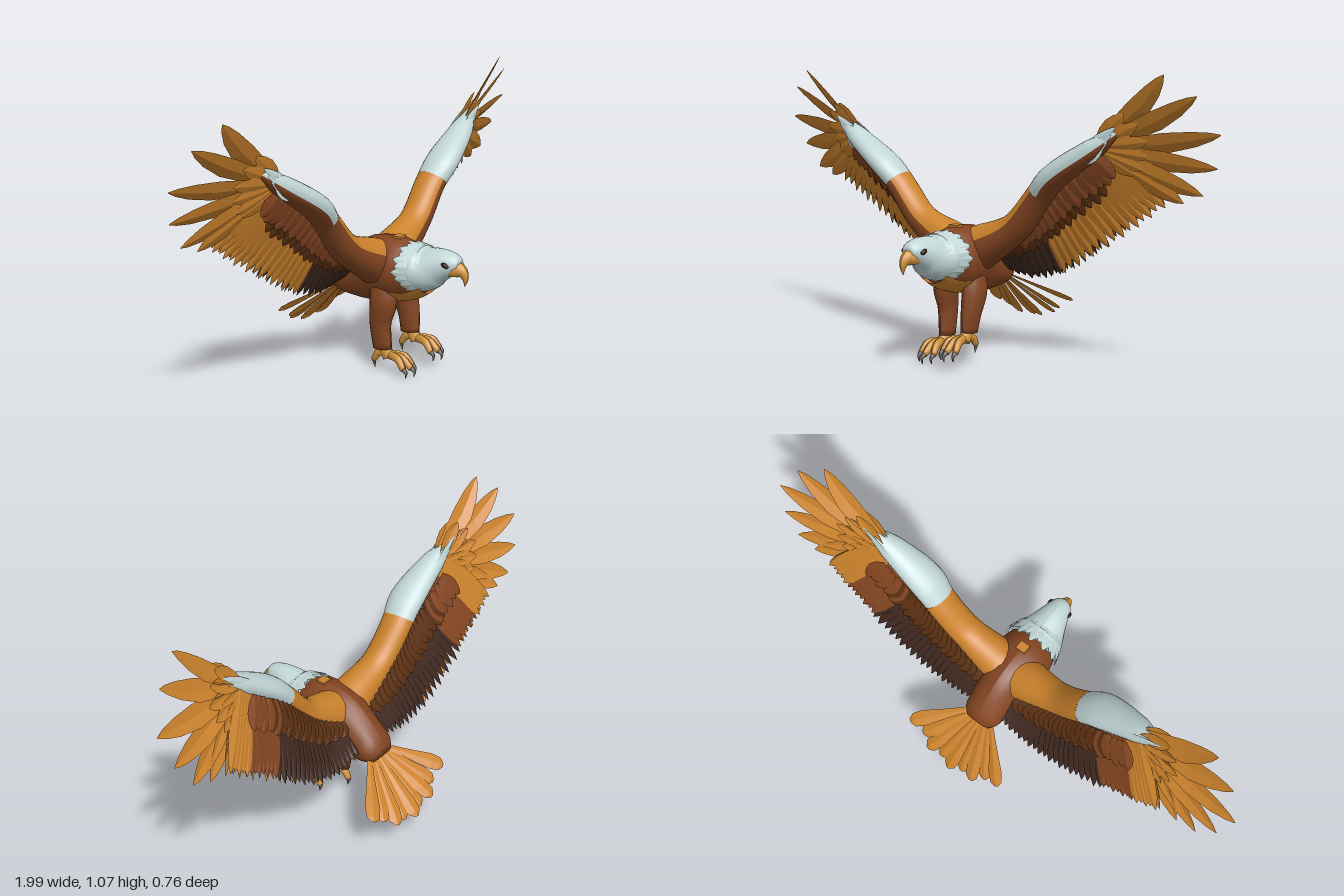
import * as THREE from 'three';
import { mergeGeometries } from 'three/addons/utils/BufferGeometryUtils.js';

const V = (x, y, z = 0) => new THREE.Vector3(x, y, z);
const D = Math.PI / 180;

const paint = (name, color) => {
  const m = new THREE.MeshStandardMaterial({ color, side: THREE.DoubleSide });
  m.name = name;
  return m;
};

// Elliptical skin along a path. Points are [x, y, z, radius across side, radius along side].
function loft(points, side, { a0 = 0, a1 = 360, t0 = 0, t1 = 1, rows = 14, cols = 16 } = {}) {
  const path = new THREE.CatmullRomCurve3(points.map(p => V(p[0], p[1], p[2])));
  const size = new THREE.CatmullRomCurve3(points.map(p => V(p[3], p[4], 0)));
  const pos = [], index = [];
  const closed = a1 - a0 === 360;
  const first = closed ? -1 : 0, last = closed ? rows + 1 : rows;
  for (let i = first; i <= last; i++) {
    const k = Math.min(Math.max(i, 0), rows);
    const t = t0 + (t1 - t0) * k / rows;
    const c = path.getPoint(t), tan = path.getTangent(t), r = size.getPoint(t);
    const u = tan.clone().cross(side).normalize();
    const s = u.clone().cross(tan).normalize();
    const f = k === i ? 1 : 0; // end rings collapse into caps
    for (let j = 0; j <= cols; j++) {
      const a = (a0 + (a1 - a0) * j / cols) * D;
      const p = c.clone().addScaledVector(u, Math.cos(a) * Math.max(r.x, 0.001) * f)
        .addScaledVector(s, Math.sin(a) * Math.max(r.y, 0.001) * f);
      pos.push(p.x, p.y, p.z);
    }
  }
  const n = cols + 1;
  for (let i = 0; i < last - first; i++) for (let j = 0; j < cols; j++) {
    const a = i * n + j;
    index.push(a, a + n, a + 1, a + n, a + n + 1, a + 1);
  }
  const g = new THREE.BufferGeometry();
  g.setAttribute('position', new THREE.Float32BufferAttribute(pos, 3));
  g.setIndex(index);
  g.computeVertexNormals();
  return g;
}

// Blade outlines as [distance along, share of width]
const POINTED = [[0, 0.35], [0.3, 0.85], [0.55, 1], [0.78, 0.75], [0.92, 0.4], [1, 0.04]];
const BROAD = [[0, 0.25], [0.4, 0.55], [0.8, 1], [0.94, 0.85], [1, 0.25]];

// One ridged feather blade from root to tip, facing along normal
function feather(root, tip, width, normal, { bend = 0, outline = POINTED } = {}) {
  const y = tip.clone().sub(root), len = y.length();
  y.normalize();
  const x = y.clone().cross(normal).normalize(), z = x.clone().cross(y);
  const pos = [], index = [];
  outline.forEach(([t, w], i) => {
    for (const e of [-1, 0, 1]) {
      const p = root.clone().addScaledVector(y, t * len)
        .addScaledVector(x, e * w * width / 2 + bend * Math.sin(t * Math.PI))
        .addScaledVector(z, e ? 0 : 0.1 * width * w);
      pos.push(p.x, p.y, p.z);
    }
    if (i) for (const a of [i * 3 - 3, i * 3 - 2])
      index.push(a, a + 1, a + 3, a + 1, a + 4, a + 3);
  });
  const g = new THREE.BufferGeometry();
  g.setAttribute('position', new THREE.Float32BufferAttribute(pos, 3));
  g.setIndex(index);
  const flat = g.toNonIndexed();
  flat.computeVertexNormals();
  return flat;
}

export function createModel() {
  const model = new THREE.Group();
  model.name = 'eagle';
  const golden = paint('golden feathers', 0xcb822c);
  const white = paint('white feathers', 0xc2d6d6);
  const brown = paint('brown plumage', 0x834521);
  const umber = paint('umber coverts', 0x5a2f11);
  const dark = paint('dark feathers', 0x3e281f);
  const yellow = paint('beak and feet', 0xd3943c);
  const grey = paint('claws', 0x6a6460);
  const black = paint('eyes', 0x2a1c12);
  const add = (parent, name, geometry, material) => {
    const m = new THREE.Mesh(geometry, material);
    m.name = name;
    parent.add(m);
    return m;
  };
  const X = V(1, 0, 0);

  // Body, chest patch and a small mark on the nape
  const bodyPath = [
    [0, 0.295, -0.2, 0.034, 0.05], [0, 0.308, -0.17, 0.06, 0.075], [0, 0.335, -0.1, 0.098, 0.085],
    [0, 0.372, 0, 0.128, 0.1], [0, 0.385, 0.08, 0.123, 0.11], [0, 0.388, 0.14, 0.103, 0.1],
    [0, 0.395, 0.2, 0.076, 0.08]];
  add(model, 'body', loft(bodyPath, X, { rows: 20, cols: 20 }), brown);
  const chestPath = [
    [0, 0.385, 0.09, 0.125, 0.112], [0, 0.387, 0.15, 0.108, 0.102], [0, 0.395, 0.21, 0.08, 0.083]];
  add(model, 'chest', loft(chestPath, X, { a0: 125, a1: 235 }), golden);
  add(model, 'napeMark', new THREE.BoxGeometry(0.04, 0.008, 0.036), golden).position.set(0, 0.507, 0.08);

  // Head with a ruff of neck feathers
  const headPath = [
    [0, 0.405, 0.14, 0.082, 0.1], [0, 0.405, 0.18, 0.087, 0.102], [0, 0.408, 0.21, 0.082, 0.088],
    [0, 0.426, 0.25, 0.066, 0.069], [0, 0.438, 0.29, 0.053, 0.053], [0, 0.441, 0.325, 0.039, 0.04],
    [0, 0.437, 0.343, 0.022, 0.026]];
  add(model, 'head', loft(headPath, X, { rows: 18, cols: 20 }), white);
  const ruff = [];
  for (let i = 0; i < 24; i++) {
    const a = i / 24 * 2 * Math.PI, c = Math.cos(a), s = Math.sin(a);
    const low = c < -0.3 ? 0.03 : 0;
    ruff.push(feather(V(s * 0.082, 0.405 + c * 0.074, 0.215),
      V(s * 0.116, 0.405 + c * 0.092, 0.122 + low + (i % 2) * 0.014), 0.044, V(s, c, 0)));
  }
  add(model, 'neckRuff', mergeGeometries(ruff), white);

  // Hooked beak and eyes
  const beakPath = [
    [0, 0.421, 0.305, 0.026, 0.038], [0, 0.425, 0.337, 0.029, 0.031], [0, 0.418, 0.357, 0.021, 0.02],
    [0, 0.395, 0.369, 0.012, 0.011], [0, 0.367, 0.367, 0.001, 0.001]];
  add(model, 'beak', loft(beakPath, X, { cols: 10 }), yellow);
  for (const s of [-1, 1]) {
    const eye = add(model, 'eye', new THREE.SphereGeometry(0.011, 10, 8), black);
    eye.position.set(s * 0.045, 0.446, 0.309);
    eye.scale.set(0.7, 0.8, 1.5);
    eye.rotation.x = 0.35;
  }

  // Tail fan
  const tail = [];
  for (let i = -4; i <= 4; i++) {
    const f = i / 4, reach = i % 2 ? 0.95 : 1;
    tail.push(feather(V(0.03 * f, 0.305, -0.16),
      V(0.015 + 0.215 * f * reach, 0.1 + 0.09 * f * f, (-0.378 + 0.04 * f * f) * reach), 0.062,
      V(0.25, 1, -1), { outline: BROAD }));
  }
  add(model, 'tail', mergeGeometries(tail), golden);

  // Legs, the left one carried higher and further forward
  for (const [s, y, z] of [[1, 0.1, 0.115], [-1, 0.065, 0.082]]) {
    const leg = new THREE.Group();
    leg.name = s > 0 ? 'leftLeg' : 'rightLeg';
    model.add(leg);
    const x = s * 0.066, zl = z - 0.03;
    add(leg, 'thigh', loft([
      [s * 0.06, 0.34, 0.045, 0.055, 0.03], [s * 0.068, 0.27, 0.056, 0.056, 0.04],
      [s * 0.069, 0.19, zl - 0.008, 0.045, 0.033], [x, y + 0.02, zl, 0.04, 0.024]], X), brown);
    add(leg, 'shank', loft([
      [x, y + 0.04, zl, 0.026, 0.02], [x, y + 0.015, z - 0.015, 0.026, 0.02],
      [x, y - 0.01, z, 0.024, 0.023]], X, { rows: 6, cols: 10 }), yellow);
    const toes = [], claws = [];
    const toe = (dx, z1, z2, z3) => {
      toes.push(loft([
        [x, y, z, 0.017, 0.015], [x + dx * 0.7, y, z + z1, 0.016, 0.014],
        [x + dx, y - 0.032, z + z2, 0.012, 0.011]], X, { rows: 8, cols: 8 }));
      claws.push(loft([
        [x + dx, y - 0.03, z + z2, 0.01, 0.009], [x + dx, y - 0.043, z + z3, 0.006, 0.006],
        [x + dx * 0.95, y - 0.064, z + z3 - Math.sign(z3) * 0.004, 0.001, 0.001]], X, { rows: 5, cols: 8 }));
    };
    for (const dx of [-0.03, 0, 0.03]) toe(dx, 0.055, dx ? 0.085 : 0.1, dx ? 0.098 : 0.115);
    toe(0, -0.045, -0.07, -0.068);
    add(leg, 'toes', mergeGeometries(toes), yellow);
    add(leg, 'claws', mergeGeometries(claws), grey);
  }

  // Wing: padded arm, then overlapping rows of feathers
  const roots = new THREE.CatmullRomCurve3([
    V(0.07, 0.42, -0.02), V(0.2, 0.49, -0.02), V(0.3, 0.58, -0.02),
    V(0.38, 0.66, -0.02), V(0.5, 0.75, -0.02), V(0.58, 0.81, -0.02)]);
  const tips = new THREE.CatmullRomCurve3([
    V(0.07, 0.32, -0.14), V(0.2, 0.297, -0.145), V(0.34, 0.335, -0.15),
    V(0.48, 0.42, -0.15), V(0.63, 0.515, -0.145), V(0.76, 0.605, -0.13)]);
  const armPath = [
    [0.06, 0.42, 0.01, 0.085, 0.085], [0.22, 0.507, 0.003, 0.055, 0.062], [0.33, 0.632, 0, 0.048, 0.062],
    [0.395, 0.7, 0.008, 0.047, 0.07], [0.55, 0.803, 0, 0.038, 0.048], [0.64, 0.862, -0.015, 0.014, 0.015]];
  const primaries = [
    [0.83, 1.06, 0.005], [0.93, 0.99, -0.035], [0.995, 0.865, -0.08], [0.965, 0.75, -0.115],
    [0.905, 0.655, -0.13], [0.83, 0.625, -0.13]];

  function wing() {
    const w = new THREE.Group();
    const back = V(0, 0, -1);
    add(w, 'armInner', loft(armPath, back, { a0: -75, a1: 140, t1: 0.44 }), golden);
    add(w, 'armOuter', loft(armPath, back, { a0: -112, a1: 140, t0: 0.44 }), white);
    add(w, 'armUndersideInner', loft(armPath, back, { a0: 140, a1: 285, t1: 0.44 }), brown);
    add(w, 'armUndersideOuter', loft(armPath, back, { a0: 140, a1: 248, t0: 0.44 }), brown);

    const row = (name, mat, n, t0, t1, reach, dz, width) => {
      const list = [];
      for (let i = 0; i < n; i++) {
        const t = t0 + (t1 - t0) * i / (n - 1);
        const r = roots.getPoint(t), e = r.clone().lerp(tips.getPoint(t), reach - (i % 2) * 0.03);
        r.z += dz; e.z += dz;
        list.push(feather(r, e, width, V(0.16, 0.08, Math.sign(dz || 1))));
      }
      add(w, name, mergeGeometries(list), mat);
    };
    // Front face
    row('innerFeathers', dark, 9, 0, 0.36, 1, 0, 0.055);
    row('middleFeathers', golden, 15, 0.39, 1, 1, 0, 0.06);
    row('frontLowerCoverts', umber, 16, 0.08, 0.8, 0.52, 0.012, 0.06);
    row('frontUpperCoverts', brown, 14, 0.25, 0.93, 0.42, 0.026, 0.065);
    // Back face
    row('backInnerFeathers', dark, 20, 0, 0.68, 0.99, -0.018, 0.05);
    row('backMiddleFeathers', brown, 7, 0.7, 0.86, 0.93, -0.018, 0.06);
    row('backOuterFeathers', golden, 5, 0.89, 1, 0.95, -0.018, 0.06);
    row('backLowerCoverts', umber, 18, 0.05, 0.72, 0.42, -0.036, 0.06);
    row('backUpperCoverts', brown, 5, 0.7, 0.88, 0.42, -0.036, 0.06);

    // Spread wing-tip feathers, with shorter ones over their bases
    const long = [], short = [];
    primaries.forEach(([x, y, z], i) => {
      const f = i / (primaries.length - 1);
      const r = V(0.57 + 0.01 * f, 0.835 - 0.05 * f, -0.01 - 0.02 * f), e = V(x, y, z);
      long.push(feather(r, e, 0.082, V(0.6, -0.7, 1.1), { bend: 0.018 * (1 - f) }));
      for (const dz of [0.01, -0.018]) {
        const b = r.clone().lerp(e, 0.42);
        b.z += dz;
        short.push(feather(r.clone().add(V(0, 0, dz)), b, 0.06, V(0.3, -0.35, 1)));
      }
    });
    add(w, 'tipFeathers', mergeGeometries(long), golden);
    add(w, 'tipCoverts', mergeGeometries(short), golden);

    // Ragged end of the white patch
    const fringe = [];
    for (let i = 0; i < 4; i++) for (const z of [0.022, -0.04])
      fringe.push(feather(V(0.5 + 0.01 * i, 0.79 - 0.012 * i, z), V(0.655 - 0.018 * i, 0.885 - 0.027 * i, z * 0.7),
        0.035, V(0, 0.2, Math.sign(z))));
    add(w, 'whiteFringe', mergeGeometries(fringe), white);
    return w;
  }
  const wings = new THREE.Group();
  wings.name = 'wings';
  const left = wing(), right = wing();
  left.name = 'leftWing';
  right.name = 'rightWing';
  right.scale.x = -1;
  wings.add(left, right);
  wings.rotation.z = 0.016; // slight bank
  model.add(wings);
  return model;
}
